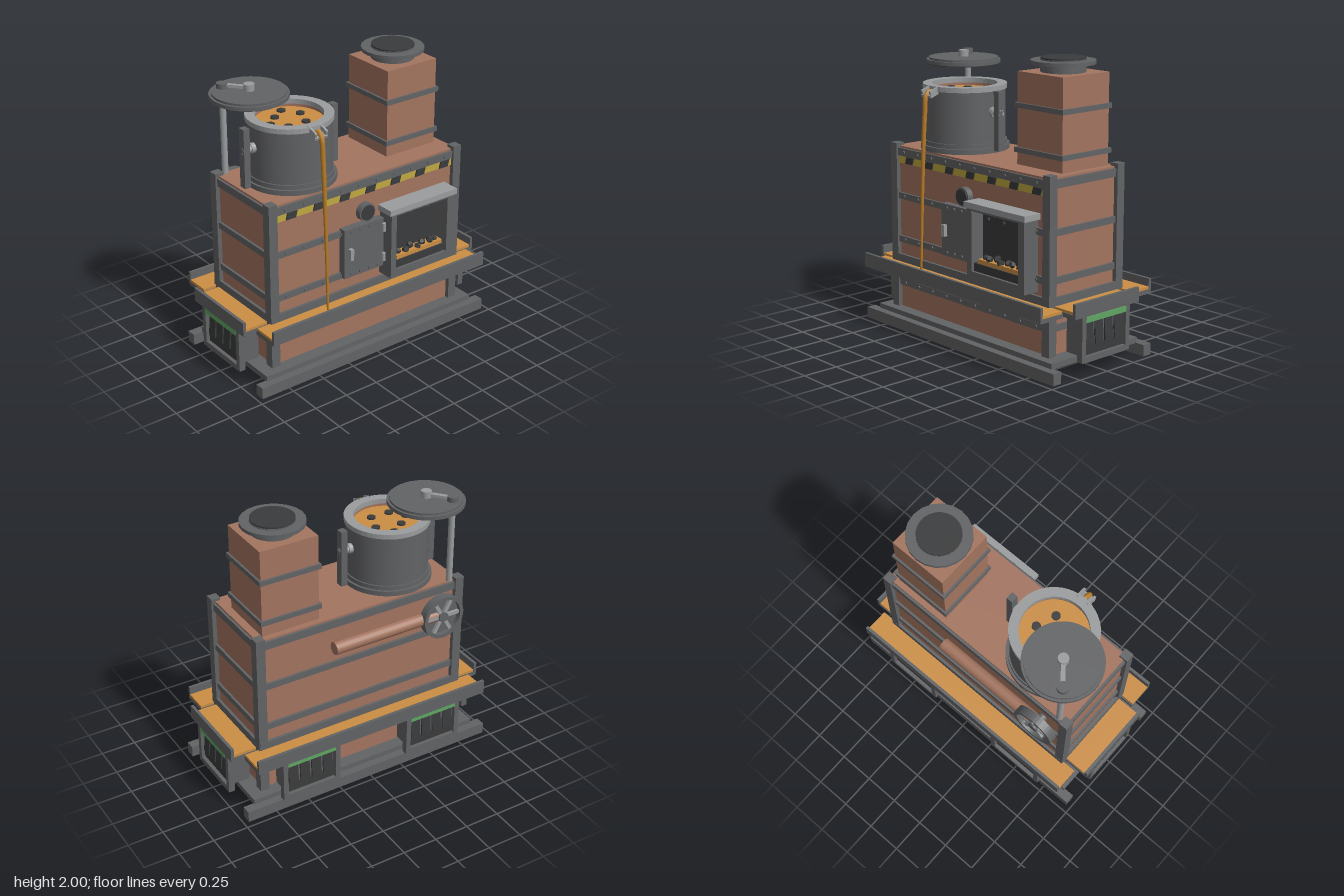
import * as THREE from 'three';

const mat = (name, color, side = THREE.FrontSide) => {
  const m = new THREE.MeshStandardMaterial({ color, side });
  m.name = name;
  return m;
};

export function createModel() {
  const iron = mat('dark iron', 0x626365);
  const brick = mat('brick', 0xa3745f);
  const steel = mat('light steel', 0x9a9c9e);
  const black = mat('soot black', 0x3a3b3c);
  const molten = mat('molten orange', 0xcb8e44);
  const amber = mat('pouring amber', 0xb87c26);
  const yellow = mat('warning yellow', 0xbfa840);
  const green = mat('vent green', 0x5fa562);

  const model = new THREE.Group();
  model.name = 'foundryFurnace';

  const add = (parent, name, geo, m, x = 0, y = 0, z = 0) => {
    const mesh = new THREE.Mesh(geo, m);
    mesh.name = name;
    mesh.position.set(x, y, z);
    parent.add(mesh);
    return mesh;
  };
  // box given by its lower and upper limits
  const box = (parent, name, m, x0, x1, y0, y1, z0, z1) =>
    add(parent, name, new THREE.BoxGeometry(x1 - x0, y1 - y0, z1 - z0), m,
      (x0 + x1) / 2, (y0 + y1) / 2, (z0 + z1) / 2);
  // upright cylinder from y0 to y1
  const cyl = (parent, name, m, r, x, y0, y1, z, n = 32) =>
    add(parent, name, new THREE.CylinderGeometry(r, r, y1 - y0, n), m, x, (y0 + y1) / 2, z);
  const group = (name, x = 0, y = 0, z = 0) => {
    const g = new THREE.Group();
    g.name = name;
    g.position.set(x, y, z);
    model.add(g);
    return g;
  };
  const rivet = (parent, x, y, z) => {
    add(parent, 'rivet', new THREE.CylinderGeometry(0.011, 0.011, 0.012, 8), iron, x, y, z).rotation.x = Math.PI / 2;
  };

  // Base
  box(model, 'basePlate', iron, -0.89, 0.89, 0.08, 0.12, -0.4, 0.4);
  box(model, 'baseUnderside', black, -0.88, 0.88, 0.075, 0.08, -0.385, 0.385);
  for (const s of [-1, 1])
    add(model, 'skid', new THREE.BoxGeometry(1.93, 0.08, 0.07), iron, 0, 0.045, s * 0.42);

  // Brick body with iron posts and bands
  box(model, 'furnaceBody', brick, -0.775, 0.775, 0.12, 1.29, -0.31, 0.31);
  for (const sx of [-1, 1]) for (const sz of [-1, 1])
    add(model, 'cornerPost', new THREE.BoxGeometry(0.066, 1.19, 0.066), iron, sx * 0.772, 0.715, sz * 0.307);
  for (const [y, h] of [[1.25, 0.055], [0.935, 0.045], [0.62, 0.045], [0.303, 0.045]]) {
    for (const s of [-1, 1]) {
      add(model, 'longBand', new THREE.BoxGeometry(1.5, h, 0.02), iron, 0, y, s * 0.317);
      add(model, 'sideBand', new THREE.BoxGeometry(0.02, h, 0.58), iron, s * 0.782, y, 0);
    }
    for (let i = 0; i < 10; i++) rivet(model, -0.67 + i * 0.149, y, 0.33);
  }

  // Warning stripe
  box(model, 'warningStripe', yellow, -0.74, 0.74, 1.17, 1.222, 0.31, 0.319);
  const slash = new THREE.Shape([[-0.045, -0.024], [0.032, -0.024], [0.045, 0.024], [-0.032, 0.024]]
    .map(p => new THREE.Vector2(...p)));
  for (let i = 0; i < 7; i++)
    add(model, 'stripeBlock', new THREE.ExtrudeGeometry(slash, { depth: 0.008, bevelEnabled: false }),
      black, -0.617 + i * 0.2145, 1.196, 0.319);

  // Troughs of molten metal around the body
  for (const s of [-1, 1]) {
    const long = group('longTrough');
    add(long, 'troughFloor', new THREE.BoxGeometry(1.81, 0.03, 0.19), iron, 0, 0.425, s * 0.41);
    add(long, 'troughOuterWall', new THREE.BoxGeometry(1.81, 0.1, 0.022), iron, 0, 0.463, s * 0.501);
    add(long, 'troughInnerWall', new THREE.BoxGeometry(1.6, 0.1, 0.02), iron, 0, 0.463, s * 0.332);
    add(long, 'troughMetal', new THREE.BoxGeometry(1.81, 0.018, 0.17), molten, 0, 0.449, s * 0.408);
    const side = group('sideTrough');
    add(side, 'troughFloor', new THREE.BoxGeometry(0.19, 0.03, 0.59), iron, s * 0.89, 0.425, 0);
    add(side, 'troughOuterWall', new THREE.BoxGeometry(0.022, 0.1, 0.59), iron, s * 0.984, 0.463, 0);
    add(side, 'troughInnerWall', new THREE.BoxGeometry(0.02, 0.1, 0.56), iron, s * 0.795, 0.463, 0);
    add(side, 'troughMetal', new THREE.BoxGeometry(0.17, 0.018, 0.58), molten, s * 0.888, 0.449, 0);
  }

  // Slotted vents, built facing +z with the mouth at z = 0
  const vent = (x, z, turn) => {
    const g = group('vent', x, 0, z);
    g.rotation.y = turn;
    box(g, 'ventDuct', iron, -0.18, 0.18, 0.13, 0.38, -0.18, -0.03);
    for (const s of [-1, 1])
      add(g, 'ventSide', new THREE.BoxGeometry(0.036, 0.305, 0.045), iron, s * 0.202, 0.255, -0.0225);
    box(g, 'ventSill', iron, -0.184, 0.184, 0.1, 0.14, -0.045, 0);
    box(g, 'ventGreenBar', green, -0.184, 0.184, 0.367, 0.405, -0.045, 0.002);
    for (let i = 0; i < 4; i++)
      add(g, 'ventSlot', new THREE.BoxGeometry(0.073, 0.155, 0.012), black, -0.133 + i * 0.0888, 0.282, -0.025)
        .rotation.x = -0.08;
    box(g, 'ventBack', black, -0.184, 0.184, 0.14, 0.205, -0.032, -0.026);
  };
  vent(0.985, 0, Math.PI / 2);
  vent(-0.985, 0, -Math.PI / 2);
  vent(0.49, -0.49, Math.PI);
  vent(-0.49, -0.49, Math.PI);

  // Chimney
  box(model, 'chimney', brick, 0.3, 0.72, 1.29, 1.905, -0.27, 0.15);
  for (const y of [1.39, 1.685])
    add(model, 'chimneyBand', new THREE.BoxGeometry(0.45, 0.034, 0.45), iron, 0.51, y, -0.06);
  cyl(model, 'chimneyNeck', iron, 0.15, 0.51, 1.9, 1.99, -0.06);
  cyl(model, 'chimneyRim', iron, 0.216, 0.51, 1.958, 1.982, -0.06, 20);
  cyl(model, 'chimneyMouth', black, 0.147, 0.51, 1.99, 2, -0.06);

  // Melting pot
  const px = -0.395;
  const pot = group('meltingPot', px, 0, 0);
  cyl(pot, 'potFoot', iron, 0.31, 0, 1.29, 1.325, 0, 40);
  cyl(pot, 'potFootRing', iron, 0.293, 0, 1.325, 1.355, 0, 40);
  const wall = [[0.283, 1.35], [0.283, 1.72], [0.23, 1.72], [0.23, 1.62]].map(p => new THREE.Vector2(...p));
  const shell = new THREE.LatheGeometry(wall.slice(0, 2), 40);
  add(pot, 'potWall', shell, iron);
  add(pot, 'potLining', new THREE.LatheGeometry(wall.slice(2), 40), brick).material.side = THREE.FrontSide;
  const ring = new THREE.Shape().absarc(0, 0, 0.292, 0, Math.PI * 2);
  ring.holes.push(new THREE.Path().absarc(0, 0, 0.226, 0, Math.PI * 2, true));
  add(pot, 'potRim', new THREE.ExtrudeGeometry(ring, { depth: 0.034, bevelEnabled: false, curveSegments: 24 }),
    steel, 0, 1.71, 0).rotation.x = -Math.PI / 2;
  cyl(pot, 'potMetal', molten, 0.23, 0, 1.64, 1.69, 0, 40);
  for (const [x, z] of [[0.115, -0.04], [-0.075, 0.095], [0.065, 0.095], [-0.06, -0.08], [0.04, -0.15], [-0.15, 0]])
    cyl(pot, 'slagLump', black, 0.03, x, 1.685, 1.702, z, 10);
  for (const s of [-1, 1]) {
    add(pot, 'potBracket', new THREE.BoxGeometry(0.046, 0.41, 0.055), iron, s * 0.352, 1.515, 0);
    add(pot, 'trunnion', new THREE.CylinderGeometry(0.027, 0.027, 0.1, 12), steel, s * 0.325, 1.57, 0).rotation.z = Math.PI / 2;
    add(pot, 'trunnionCollar', new THREE.CylinderGeometry(0.036, 0.036, 0.03, 8), steel, s * 0.298, 1.57, 0).rotation.z = Math.PI / 2;
  }
  // Pouring spout: floor and two cheeks
  for (const [x, y, w, h] of [[0, 0, 0.1, 0.018], [-0.042, 0.02, 0.016, 0.04], [0.042, 0.02, 0.016, 0.04]])
    add(pot, 'spout', new THREE.BoxGeometry(w, h, 0.09), steel, x, 1.695 + y, 0.305).rotation.x = 0.35;

  // Pouring stream, thinner toward the bottom
  const fall = new THREE.CatmullRomCurve3([[1.712, 0.3], [1.7, 0.342], [1.55, 0.362], [1.07, 0.388], [0.455, 0.41]]
    .map(([y, z]) => new THREE.Vector3(px, y, z)));
  const stream = new THREE.TubeGeometry(fall, 40, 0.018, 8);
  const p = stream.attributes.position, v = new THREE.Vector3();
  for (let i = 0; i < p.count; i++) {
    const t = Math.floor(i / 9) / 40;
    const c = fall.getPointAt(t);
    v.fromBufferAttribute(p, i).sub(c).multiplyScalar(1 - 0.55 * t).add(c);
    p.setXYZ(i, v.x, v.y, v.z);
  }
  stream.computeVertexNormals();
  add(model, 'pouringStream', stream, amber);

  // Lid swung aside on its pole
  cyl(model, 'lidPole', steel, 0.022, -0.71, 1.29, 1.9, -0.3, 16);
  cyl(model, 'poleCap', iron, 0.038, -0.71, 1.89, 1.928, -0.3, 16);
  const arm = add(model, 'lidArm', new THREE.BoxGeometry(0.03, 0.02, 0.18), steel, -0.652, 1.912, -0.23);
  arm.rotation.y = Math.atan2(0.115, 0.14);
  cyl(model, 'lid', iron, 0.262, -0.595, 1.852, 1.878, -0.16, 40);
  cyl(model, 'lidTop', iron, 0.245, -0.595, 1.878, 1.893, -0.16, 40);
  cyl(model, 'lidUnderside', black, 0.25, -0.595, 1.845, 1.852, -0.16, 40);
  cyl(model, 'lidKnob', steel, 0.036, -0.595, 1.89, 1.938, -0.16, 16);

  // Fire window with hood and glowing bed
  const fire = group('fireWindow');
  box(fire, 'windowLeft', iron, 0.615, 0.67, 0.53, 1.02, 0.31, 0.435);
  box(fire, 'windowRight', iron, 0.12, 0.165, 0.53, 1.02, 0.31, 0.435);
  box(fire, 'windowSill', iron, 0.165, 0.615, 0.53, 0.585, 0.31, 0.435);
  box(fire, 'windowLintel', iron, 0.165, 0.615, 0.995, 1.02, 0.31, 0.435);
  box(fire, 'windowBack', black, 0.165, 0.615, 0.585, 0.995, 0.325, 0.332);
  box(fire, 'windowInnerSill', black, 0.165, 0.615, 0.585, 0.64, 0.33, 0.415);
  box(fire, 'emberBed', molten, 0.195, 0.6, 0.64, 0.67, 0.332, 0.405);
  for (let i = 0; i < 7; i++)
    add(fire, 'coal', new THREE.DodecahedronGeometry(0.026), black,
      0.235 + i * 0.054, 0.675 + 0.008 * (i % 3), 0.365 + 0.02 * (i % 2)).rotation.set(i, i * 2, 0);
  box(fire, 'windowHood', steel, 0.1, 0.688, 1.012, 1.052, 0.31, 0.447);

  // Fire door
  const door = group('fireDoor');
  box(door, 'doorPanel', iron, -0.222, 0.108, 0.61, 0.972, 0.31, 0.365);
  for (let i = 0; i < 4; i++) for (const y of [0.635, 0.948]) rivet(door, -0.165 + i * 0.076, y, 0.368);
  box(door, 'doorHandle', steel, -0.193, -0.165, 0.75, 0.83, 0.365, 0.395);
  for (const y of [0.905, 0.68])
    add(door, 'hinge', new THREE.CylinderGeometry(0.014, 0.014, 0.06, 10), steel, 0.105, y, 0.372);

  // Round peephole
  const hole = add(model, 'peepholeRing', new THREE.CylinderGeometry(0.065, 0.065, 0.05, 24), iron, -0.022, 1.045, 0.33);
  hole.rotation.x = Math.PI / 2;
  add(model, 'peepholeGlass', new THREE.CylinderGeometry(0.054, 0.054, 0.008, 24), black, -0.022, 1.045, 0.358).rotation.x = Math.PI / 2;

  // Copper pipe and fan wheel on the back
  add(model, 'airPipe', new THREE.CylinderGeometry(0.045, 0.045, 0.82, 20), brick, -0.165, 1.095, -0.37).rotation.z = Math.PI / 2;
  const wheel = group('fanWheel', -0.59, 1.095, -0.43);
  const tyre = new THREE.Shape().absarc(0, 0, 0.158, 0, Math.PI * 2);
  tyre.holes.push(new THREE.Path().absarc(0, 0, 0.132, 0, Math.PI * 2, true));
  add(wheel, 'wheelRim', new THREE.ExtrudeGeometry(tyre, { depth: 0.06, bevelEnabled: false, curveSegments: 20 }), iron);
  add(wheel, 'wheelDisc', new THREE.CylinderGeometry(0.134, 0.134, 0.02, 32), iron, 0, 0, 0.045).rotation.x = Math.PI / 2;
  for (let i = 0; i < 3; i++)
    add(wheel, 'wheelSpokes', new THREE.BoxGeometry(0.265, 0.026, 0.02), steel, 0, 0, 0.025).rotation.z = i * Math.PI / 3;
  add(wheel, 'wheelHub', new THREE.CylinderGeometry(0.036, 0.036, 0.11, 16), iron, 0, 0, 0.058).rotation.x = Math.PI / 2;

  return model;
}
